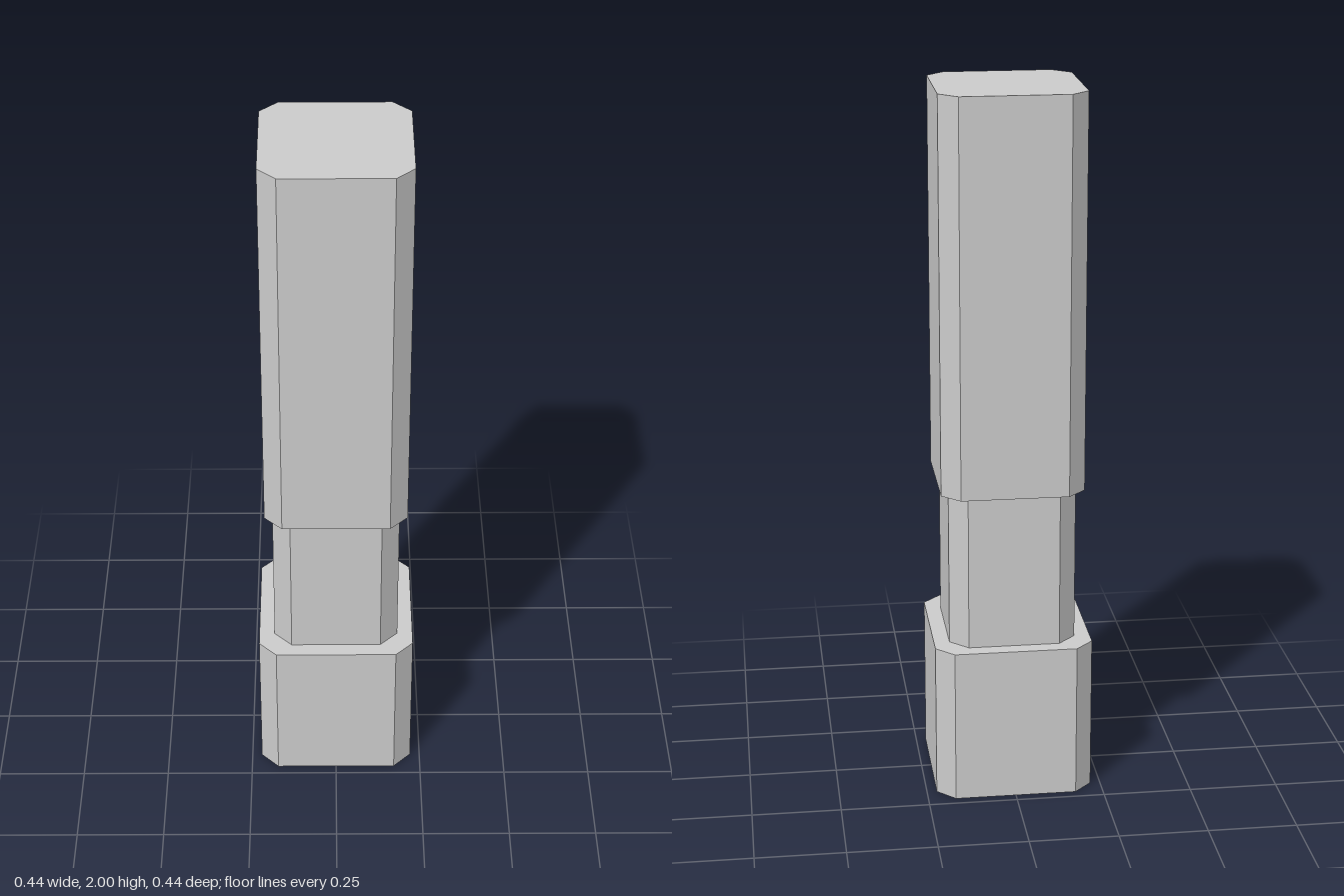
import * as THREE from 'three';

const CHAMFER = 0.05;

// Square with cut corners, counterclockwise seen from above; half 0 gives a single point
function ring([half, y]) {
  const f = Math.max(half - CHAMFER, 0);
  return [[half, f], [half, -f], [f, -half], [-f, -half], [-half, -f], [-half, f], [-f, half], [f, half]]
    .map(([x, z]) => [x, y, z]);
}

// Faceted shell through a list of [half width, height] sections
function shell(name, sections) {
  const positions = [];
  for (let s = 0; s < sections.length - 1; s++) {
    const low = ring(sections[s]);
    const high = ring(sections[s + 1]);
    for (let i = 0; i < 8; i++) {
      const j = (i + 1) % 8;
      positions.push(...low[i], ...low[j], ...high[j]);
      if (sections[s + 1][0] > 0) positions.push(...low[i], ...high[j], ...high[i]);
    }
  }
  const geometry = new THREE.BufferGeometry();
  geometry.setAttribute('position', new THREE.Float32BufferAttribute(positions, 3));
  geometry.computeVertexNormals();
  const material = new THREE.MeshStandardMaterial({
    color: 0xcccccc, flatShading: true, side: THREE.DoubleSide,
  });
  const mesh = new THREE.Mesh(geometry, material);
  mesh.name = name;
  return mesh;
}

export function createModel() {
  const BASE = 0.222, NECK = 0.178, UPPER = 0.2;
  const group = new THREE.Group();
  group.name = 'steppedPost';
  group.add(
    // Wide base, hollow and open underneath, with a ledge on top
    shell('base', [[BASE, 0], [BASE, 0.444], [NECK, 0.444]]),
    // Narrow middle
    shell('neck', [[NECK, 0.444], [NECK, 0.889]]),
    // Tall upper block with its underside lip and flat top
    shell('upperBlock', [[NECK, 0.889], [UPPER, 0.889], [UPPER, 2], [0, 2]]),
  );
  return group;
}
